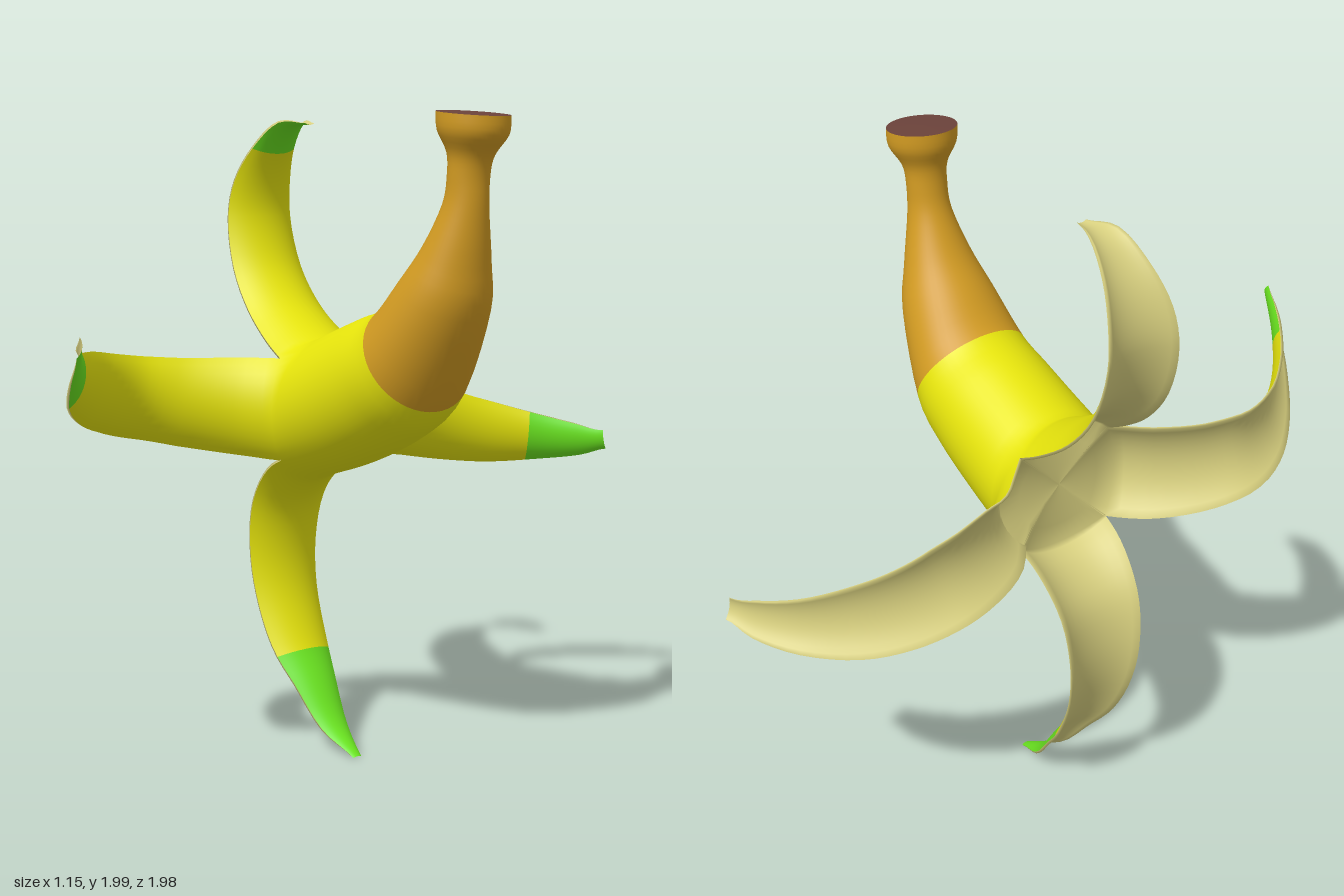
import * as THREE from 'three';

const V = (x, y, z) => new THREE.Vector3(x, y, z);
const paint = (name, hex) => {
  const m = new THREE.MeshStandardMaterial({ color: hex });
  m.name = name;
  return m;
};

// Smooth function of 0..1 through evenly spaced values
function profile(values) {
  const curve = new THREE.SplineCurve(values.map((v, i) => new THREE.Vector2(i, v)));
  return t => curve.getPoint(t).y;
}

// Skin a list of equal-length point rows; a closed grid joins its last column to its first
function grid(rows, closed = false) {
  const n = rows[0].length, index = [];
  const cols = closed ? n : n - 1;
  for (let i = 0; i < rows.length - 1; i++) {
    for (let j = 0; j < cols; j++) {
      const k = (j + 1) % n;
      const a = i * n + j, b = a + n, c = (i + 1) * n + k, d = i * n + k;
      index.push(a, b, c, a, c, d);
    }
  }
  const geo = new THREE.BufferGeometry().setFromPoints(rows.flat());
  geo.setIndex(index);
  geo.computeVertexNormals();
  return geo;
}

// Give the rows before and after a split their own material
function splitRows(geo, perRow, split) {
  const cut = split * perRow * 6;
  geo.addGroup(0, cut, 0);
  geo.addGroup(cut, geo.index.count - cut, 1);
  return geo;
}

// Share normals where separate skins touch, so that the joins look smooth
function blendNormals(geos) {
  const sums = new Map();
  const each = visit => geos.forEach(({ attributes: { position, normal } }) => {
    for (let i = 0; i < position.count; i++) {
      const p = V(0, 0, 0).fromBufferAttribute(position, i);
      visit(p.toArray().map(v => v.toFixed(3)).join(), normal, i);
    }
  });
  each((key, normal, i) => {
    if (!sums.has(key)) sums.set(key, V(0, 0, 0));
    sums.get(key).add(V(0, 0, 0).fromBufferAttribute(normal, i));
  });
  each((key, normal, i) => normal.setXYZ(i, ...sums.get(key).normalize().toArray()));
}

export function createModel() {
  const model = new THREE.Group();
  model.name = 'peeledBanana';
  const yellow = paint('peelYellow', 0xe6e40c);
  const brown = paint('stemBrown', 0xd29b22);
  const green = paint('tipGreen', 0x6ae420);
  const cream = paint('innerCream', 0xd6ce7e);
  const maroon = paint('stemEndBrown', 0x6c433b);
  const add = (name, geo, mat, parent = model) => {
    const mesh = new THREE.Mesh(geo, mat);
    mesh.name = name;
    parent.add(mesh);
  };

  const STEP = 4, COLS = 12, RING = 0.215, RX = -0.21, RY = 1.1;
  const halfWidth = profile([0.158, 0.152, 0.14, 0.13, 0.12, 0.107, 0.08, 0.05, 0.016]);
  const apex = V(-0.22, RY, 0), A = Math.PI / 4;
  const skins = [], rim = [];

  // A peel strip: path of [x, distance from the axis], station where green starts,
  // rise along its length, twist about its path and extra half width at the tip
  function addPeel(name, radial, greenAt, path, { rise = () => 0, twist = 0, blunt = 0 } = {}) {
    const group = new THREE.Group();
    group.name = name;
    model.add(group);
    const curve = new THREE.CatmullRomCurve3(path.map(([x, out], i) =>
      V(x, RY + rise(i / (path.length - 1)), 0).addScaledVector(radial, out)));
    const side0 = V(1, 0, 0).cross(radial);
    const outer = [], inner = [];
    const steps = (path.length - 1) * STEP;
    for (let i = 0; i <= steps; i++) {
      const t = i / steps, mid = curve.getPoint(t);
      const w = halfWidth(t) + blunt * t ** 8;
      // All peels leave the rim at the same slant, later rows follow the path
      const T = i ? curve.getTangent(t) : V(-0.866, 0, 0).addScaledVector(radial, 0.5);
      const S = side0.clone().addScaledVector(T, -side0.dot(T)).normalize()
        .applyAxisAngle(T, twist * Math.min(1, 3 * t));
      const N = T.clone().cross(S);
      const sag = w * (0.4142 - 0.1 * t);
      const arc = (scale, sink) => Array.from({ length: COLS + 1 }, (_, j) => {
        const a = (j / COLS * 2 - 1) * A;
        return mid.clone()
          .addScaledVector(S, scale * w * Math.sin(a) / Math.sin(A))
          .addScaledVector(N, -sink - sag * (1 - Math.cos(a)) / (1 - Math.cos(A)));
      });
      const skin = arc(1, 0);
      const lining = arc(0.98, 0.008 * Math.min(1, (1 - t) * 6));
      outer.push(skin);
      // The lining wraps round both edges to meet the skin
      inner.push([skin[0], ...lining, skin[COLS]].reverse());
    }
    rim.push(...outer[0].slice(0, COLS));
    // The lining runs in to the middle of the opening
    const floor = [0, 0.33, 0.67].map(k => inner[0].map(p => {
      const q = apex.clone().lerp(p, k);
      q.x = apex.x + (p.x - apex.x) * k * k;
      return q;
    }));
    const skinGeo = splitRows(grid(outer), COLS, greenAt * STEP);
    skins.push(skinGeo);
    add(name + 'Skin', skinGeo, [yellow, green], group);
    add(name + 'Lining', grid([...floor, ...inner]), cream, group);
  }

  addPeel('topPeel', V(0, 1, 0), 6, [
    [RX, RING], [-0.3, 0.262], [-0.405, 0.335], [-0.49, 0.44], [-0.533, 0.58],
    [-0.522, 0.68], [-0.475, 0.775], [-0.39, 0.855], [-0.3, 0.863]]);
  addPeel('leftPeel', V(0, 0, 1), 6, [
    [RX, RING], [-0.3, 0.295], [-0.38, 0.42], [-0.41, 0.53], [-0.38, 0.64],
    [-0.29, 0.76], [-0.16, 0.88], [-0.08, 0.935], [-0.01, 0.97]],
  { rise: t => 0.26 * t * t, twist: -0.17, blunt: 0.018 });
  addPeel('bottomPeel', V(0, -1, 0), 5.25, [
    [RX, RING], [-0.29, 0.25], [-0.375, 0.34], [-0.408, 0.47], [-0.397, 0.61],
    [-0.337, 0.765], [-0.262, 0.88], [-0.17, 1.01], [-0.06, 1.088]]);
  addPeel('rightPeel', V(0, 0, -1), 5.75, [
    [RX, RING], [-0.26, 0.28], [-0.295, 0.39], [-0.3, 0.5], [-0.28, 0.61],
    [-0.235, 0.72], [-0.155, 0.84], [-0.055, 0.925], [0.02, 0.972]],
  { rise: t => -0.18 * Math.sin(1.9 * t), twist: 0.28, blunt: 0.018 });

  // Body sections, stem to opening: inner-curve x, y, outer-curve x, y, half depth
  const sections = [
    [0.36, 1.997, 0.57, 1.977, 0.104],
    [0.363, 1.945, 0.565, 1.925, 0.1],
    [0.387, 1.885, 0.522, 1.87, 0.068],
    [0.388, 1.82, 0.505, 1.815, 0.062],
    [0.37, 1.74, 0.5, 1.72, 0.067],
    [0.31, 1.63, 0.487, 1.56, 0.105],
    [0.235, 1.54, 0.46, 1.41, 0.145],
    [0.14, 1.44, 0.31, 1.14, 0.188],
    [0.03, 1.402, 0.18, 1.035, 0.2],
    [-0.09, 1.36, -0.02, 0.945, 0.207],
    [RX, RY + RING, RX, RY - RING, RING],
  ];
  const [topX, topY, lowX, lowY, depth] = [0, 1, 2, 3, 4].map(k => profile(sections.map(s => s[k])));
  const bodyRows = [];
  const count = (sections.length - 1) * STEP;
  for (let i = 0; i < count; i++) {
    const t = i / count;
    const top = V(topX(t), topY(t), 0);
    const mid = V(lowX(t), lowY(t), 0).lerp(top, 0.5), up = top.sub(mid);
    bodyRows.push(Array.from({ length: COLS * 4 }, (_, j) => {
      const a = j / (COLS * 4) * Math.PI * 2 - A;
      return mid.clone().addScaledVector(up, Math.cos(a)).add(V(0, 0, depth(t) * Math.sin(a)));
    }));
  }
  // The body ends on the rim where the peels begin
  bodyRows.push(rim);
  const bodyGeo = splitRows(grid(bodyRows, true), COLS * 4, 7 * STEP);
  blendNormals([bodyGeo, ...skins]);
  add('body', bodyGeo, [brown, yellow]);

  // Cut end of the stem
  const capCentre = V(0.465, 1.989, 0);
  add('stemEnd', grid([bodyRows[0].map(() => capCentre), bodyRows[0]], true), maroon);
  return model;
}
